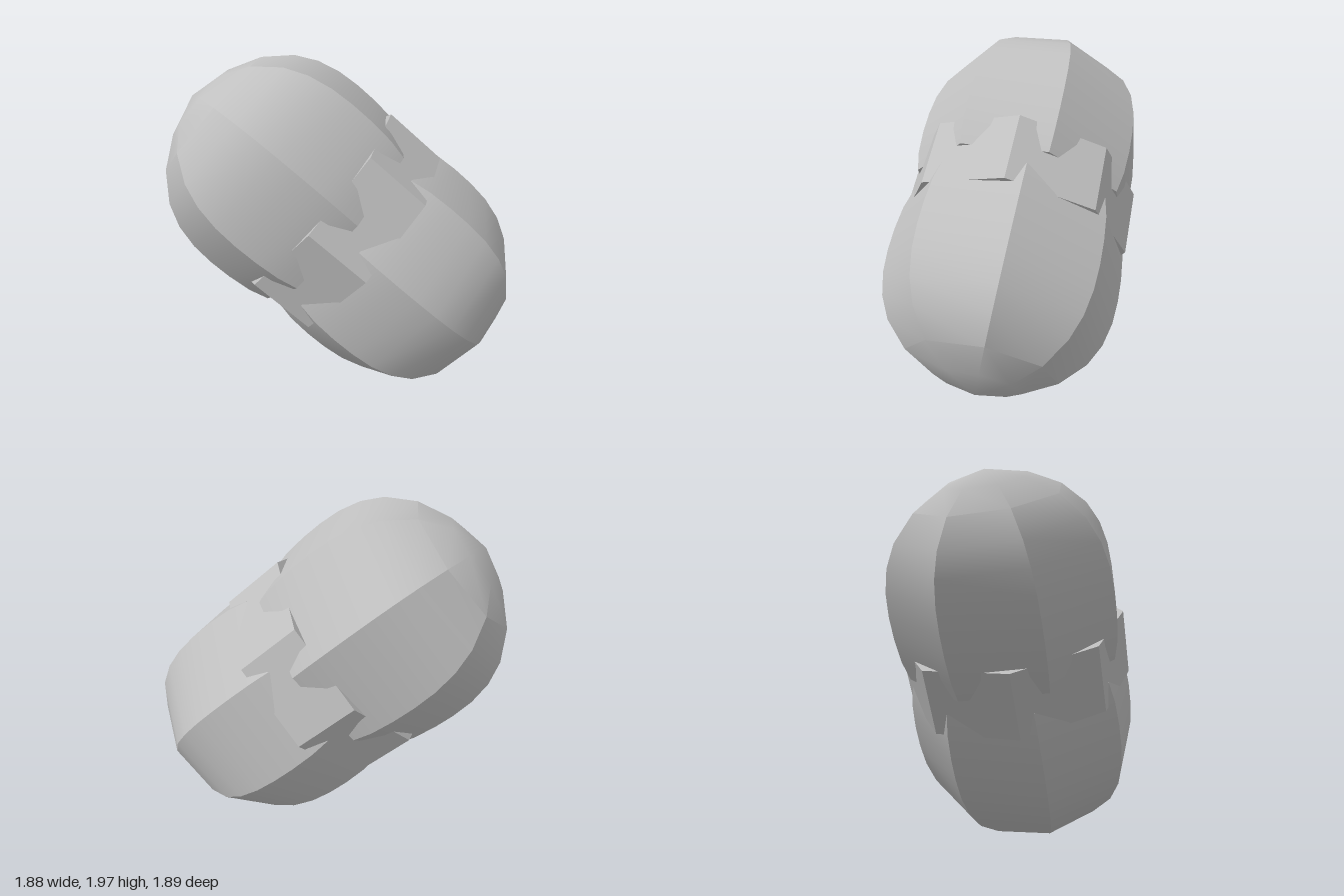
import * as THREE from 'three';
import { toCreasedNormals } from 'three/addons/utils/BufferGeometryUtils.js';

const SIDES = 8;
const deg = THREE.MathUtils.degToRad;

// Half-shell outline: radius and distance along the long axis, from waist lip to tip
const PROFILE = [
  [0.6, 0.05], [0.66, 0.05], [0.688, 0.17], [0.7, 0.32], [0.7, 0.46],
  [0.687, 0.6], [0.65, 0.74], [0.58, 0.87], [0.44, 1.01], [0.25, 1.11], [0, 1.17],
];

export function createModel() {
  const grey = new THREE.MeshStandardMaterial({ color: 0xc0c0c0 });
  grey.name = 'grey';
  const model = new THREE.Group();
  model.name = 'capsule';

  const add = (name, geometry) => {
    const mesh = new THREE.Mesh(toCreasedNormals(geometry, deg(30)), grey);
    mesh.name = name;
    model.add(mesh);
  };

  // Rounded eight-sided shells, each twisted a little about the axis
  const shell = (name, dir, twist) => {
    const points = PROFILE.map(([r, y]) => new THREE.Vector2(r, dir * y));
    if (dir < 0) points.reverse();
    add(name, new THREE.LatheGeometry(points, SIDES, deg(twist)));
  };
  shell('upperShell', 1, 12);
  shell('lowerShell', -1, 3);

  // Short prism whose corners poke out between the shells
  const core = new THREE.CylinderGeometry(0.69, 0.69, 0.4, SIDES, 1, false, deg(-5));
  core.translate(0, 0.02, 0);
  add('core', core);

  // Lean the long axis up, to the side and to the front
  const axis = new THREE.Vector3(-0.54, 0.655, 0.525).normalize();
  const side = new THREE.Vector3(axis.y, -axis.x, 0).normalize();
  const face = new THREE.Vector3().crossVectors(side, axis);
  model.quaternion.setFromRotationMatrix(new THREE.Matrix4().makeBasis(side, axis, face));
  model.position.y = 1;

  const root = new THREE.Group();
  root.name = 'model';
  root.add(model);
  return root;
}
